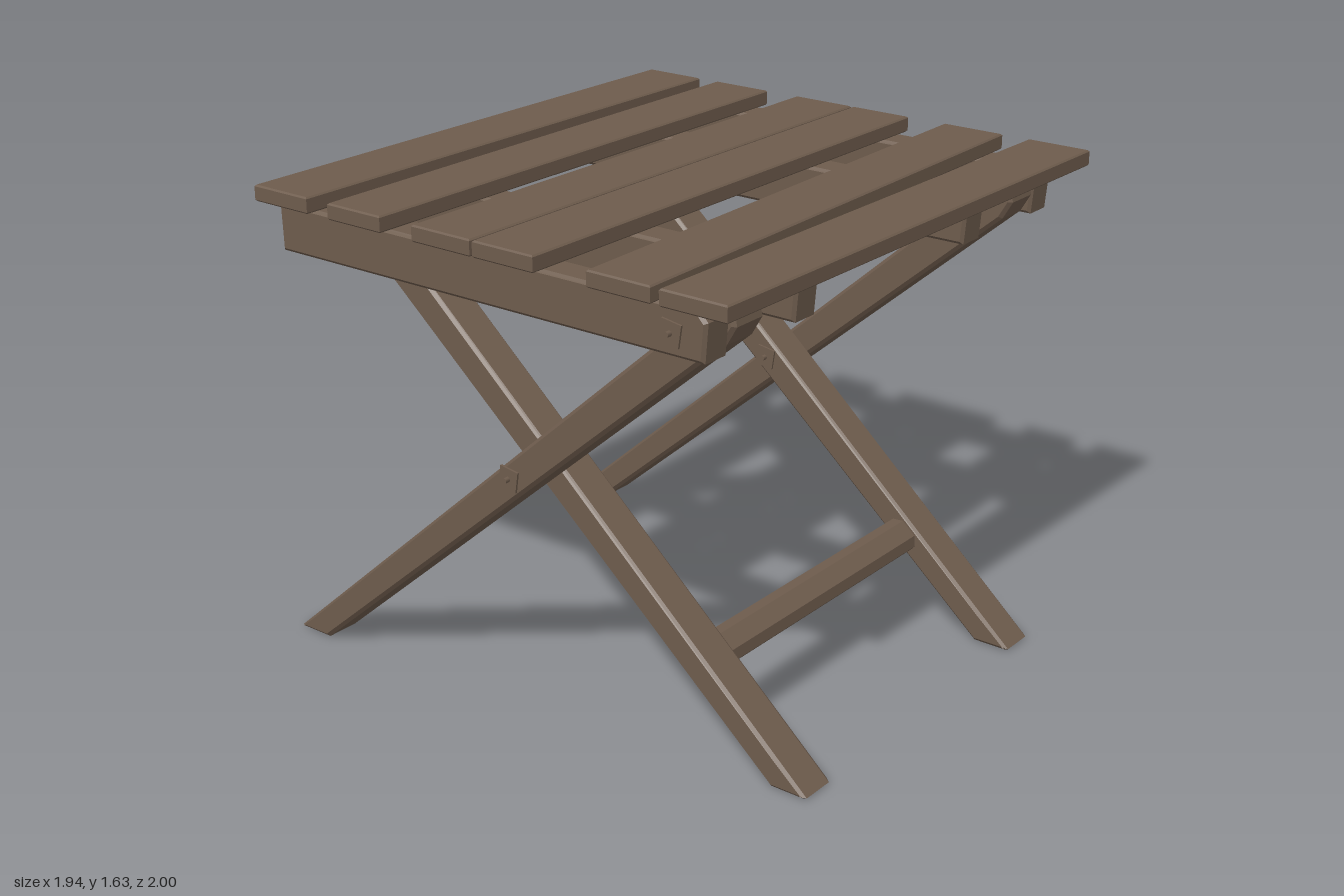
import * as THREE from 'three';

const wood = new THREE.MeshStandardMaterial({ color: 0x6e5c4d });
wood.name = 'brownWood';

// Board extruded from a 2D outline with a small bevel kept inside the outline
function board(points, depth, bevel) {
  const shape = new THREE.Shape(points.map(([a, b]) => new THREE.Vector2(a, b)));
  const geo = new THREE.ExtrudeGeometry(shape, {
    depth: depth - 2 * bevel, bevelEnabled: true, bevelThickness: bevel,
    bevelSize: bevel, bevelOffset: -bevel, bevelSegments: 1,
  });
  return geo.translate(0, 0, bevel);
}

// Side profile given as [z, y], spanning x0 to x1
function sideBoard(points, x0, x1, bevel) {
  return board(points.map(([z, y]) => [-z, y]), x1 - x0, bevel)
    .rotateY(Math.PI / 2).translate(x0, 0, 0);
}

export function createModel() {
  const model = new THREE.Group();
  model.name = 'foldingTable';
  const add = (name, geo) => {
    const mesh = new THREE.Mesh(geo, wood);
    mesh.name = name;
    model.add(mesh);
    return mesh;
  };

  // Top slats: z edges at the -x end, then at the +x end
  const slats = [
    [-0.89, -0.66, -0.875, -0.65],
    [-0.57, -0.35, -0.57, -0.345],
    [-0.22, 0.01, -0.215, 0.015],
    [0.02, 0.25, 0.025, 0.25],
    [0.445, 0.67, 0.395, 0.62],
    [0.70, 0.93, 0.72, 0.945],
  ];
  slats.forEach(([a, b, c, d], i) => {
    const geo = board([[-0.97, a], [0.97, c], [0.97, d], [-0.97, b]], 0.053, 0.005);
    add('topSlat' + (i + 1), geo.rotateX(Math.PI / 2).translate(0, 1.63, 0));
  });

  const rail = [[0.82, 1.425], [-0.825, 1.42], [-0.83, 1.577], [0.80, 1.577], [0.83, 1.545]];
  const leg = [[1, 0.005], [0.985, 0], [0.87, 0], [-0.80, 1.44], [-0.835, 1.5], [-0.825, 1.55], [-0.77, 1.577]];
  const mirroredLeg = leg.map(([z, y]) => [-z, y]).reverse();

  // Square washer with a small pin, facing sideways along x
  function bolt(name, x, y, z, out) {
    const plate = add(name + 'Washer', new THREE.BoxGeometry(0.008, 0.07, 0.07));
    plate.position.set(x + out * 0.003, y, z);
    plate.rotation.x = 0.15;
    const pin = add(name + 'Pin', new THREE.CylinderGeometry(0.009, 0.009, 0.024, 8));
    pin.position.set(x + out * 0.012, y, z);
    pin.rotation.z = Math.PI / 2;
  }

  for (const s of [-1, 1]) {
    const side = s > 0 ? 'left' : 'right';
    const span = (a, b) => (s > 0 ? [a, b] : [-b, -a]);

    // Rails under the slats
    add(side + 'OuterRail', sideBoard(rail, ...span(0.82, 0.93), 0.01));
    add(side + 'InnerRail', sideBoard(rail, ...span(0.40, 0.51), 0.01));

    // Crossed legs
    add(side + 'OuterLeg', sideBoard(mirroredLeg, ...span(0.67, 0.81), 0.012));
    add(side + 'InnerLeg', sideBoard(leg, ...span(0.52, 0.66), 0.012));

    // Pivot hardware
    bolt(side + 'OuterRailBolt', s * 0.93, 1.495, 0.71, s);
    bolt(side + 'InnerRailBolt', s * 0.40, 1.495, -0.71, -s);
    bolt(side + 'OuterPivot', s * 0.81, 0.825, -0.01, s);
    bolt(side + 'InnerPivot', s * 0.52, 0.825, -0.01, -s);
  }

  // Stretcher between the inner legs, lying in the slope of the legs
  const w = 0.06, t = 0.035, c = 0.028;
  const section = [[-w, -t + c], [-w + c, -t], [w - c, -t], [w, -t + c], [w, t - c], [w - c, t], [-w + c, t], [-w, t - c]];
  const stretcher = add('stretcher', sideBoard(section, -0.53, 0.53, 0.004));
  stretcher.position.set(0, 0.315, 0.575);
  stretcher.rotation.x = 0.718;

  return model;
}
